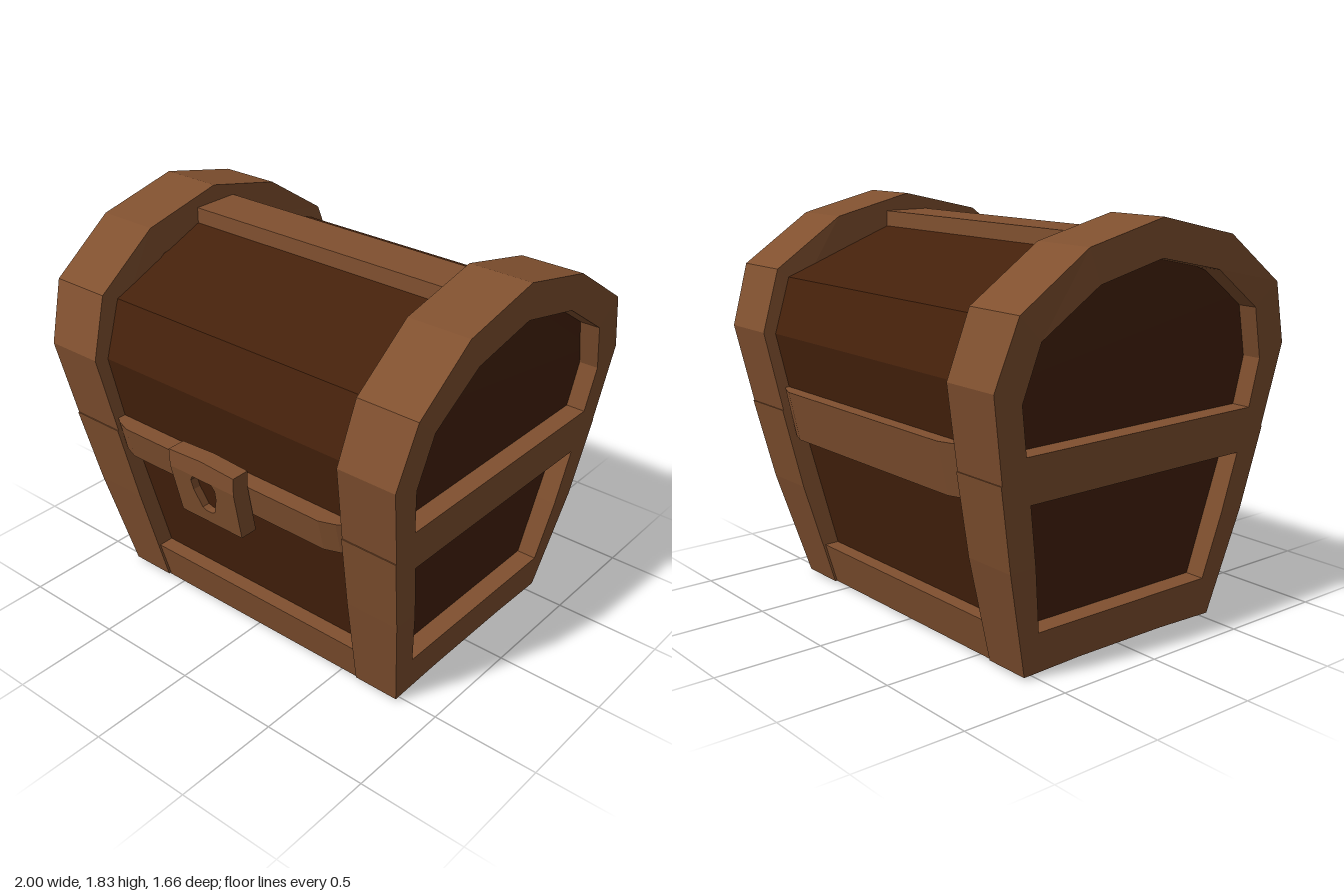
import * as THREE from 'three';

const wood = new THREE.MeshStandardMaterial({ color: 0x80502f });
wood.name = 'frame wood';
const dark = new THREE.MeshStandardMaterial({ color: 0x45210b });
dark.name = 'dark panel wood';

// piecewise linear lookup through [y, value] pairs
const ramp = (pts) => (y) => {
  if (y <= pts[0][0]) return pts[0][1];
  for (let i = 1; i < pts.length; i++) {
    const [y0, v0] = pts[i - 1], [y1, v1] = pts[i];
    if (y <= y1) return v0 + (v1 - v0) * (y - y0) / (y1 - y0);
  }
  return pts[pts.length - 1][1];
};

// outer and inner side of the end frames: they lean outwards with height
const outer = ramp([[0, 0.81], [0.5, 0.887], [0.87, 0.928], [1.24, 0.965], [1.52, 0.996], [1.83, 1]]);
const inner = ramp([[0, 0.59], [0.93, 0.66], [1.24, 0.685], [1.48, 0.705]]);

const toShape = (pts, holes = []) => {
  const s = new THREE.Shape(pts.map(p => new THREE.Vector2(...p)));
  s.holes = holes.map(h => new THREE.Path(h.map(p => new THREE.Vector2(...p))));
  return s;
};

// extrude a shape by one unit, then place every vertex by a rule
function solid(name, mat, shape, rule) {
  const g = new THREE.ExtrudeGeometry(shape, { depth: 1, bevelEnabled: false });
  const p = g.attributes.position;
  for (let i = 0; i < p.count; i++) p.setXYZ(i, ...rule(p.getX(i), p.getY(i), p.getZ(i)));
  g.computeVertexNormals();
  const m = new THREE.Mesh(g, mat);
  m.name = name;
  return m;
}

// (z, y) outline running along x between -half(y) and half(y)
const spanX = (name, mat, pts, half) =>
  solid(name, mat, toShape(pts), (a, b, d) => [d < 0.5 ? half(b) : -half(b), b, a]);

// closed frame of quads between an outline and a matching opening, both (z, y)
function ringFrame(name, outline, opening, hi, lo) {
  const pos = [];
  const at = ([z, y], side) => [side(y), y, z];
  const quad = (a, b, c, d) => pos.push(...a, ...b, ...c, ...a, ...c, ...d);
  outline.forEach((A, i) => {
    const j = (i + 1) % outline.length;
    const B = outline[j], C = opening[j], D = opening[i];
    quad(at(A, lo), at(B, lo), at(C, lo), at(D, lo));
    quad(at(D, hi), at(C, hi), at(B, hi), at(A, hi));
    quad(at(A, hi), at(B, hi), at(B, lo), at(A, lo));
    quad(at(D, hi), at(D, lo), at(C, lo), at(C, hi));
  });
  const g = new THREE.BufferGeometry();
  g.setAttribute('position', new THREE.Float32BufferAttribute(pos, 3));
  g.computeVertexNormals();
  const m = new THREE.Mesh(g, wood);
  m.name = name;
  return m;
}

// rail with tapered ends, following the slanted wall; dir is 1 in front, -1 behind
function rail(name, dir, top, bottom, reach, slant) {
  const plan = [[-0.67, 0.5], [0.67, 0.5], [0.67, reach - 0.05], [0.63, reach - 0.025], [0.56, reach],
    [-0.56, reach], [-0.63, reach - 0.025], [-0.67, reach - 0.05]].map(([x, z]) => [x, z * dir]);
  return solid(name, wood, toShape(plan), (x, z, d) =>
    d < 0.5 ? [x, top, z] : [x, bottom, z - dir * slant]);
}

export function createModel() {
  const chest = new THREE.Group();
  chest.name = 'chest';

  // dark box and lid core
  const panel = y => outer(y) - 0.09;
  chest.add(
    spanX('boxPanels', dark, [[0.45, 0.03], [0.64, 0.88], [-0.68, 0.88], [-0.48, 0.03]], panel),
    spanX('lidPanels', dark, [
      [0.65, 0.87], [0.71, 1.23], [0.61, 1.48], [0.10, 1.68], [-0.13, 1.68],
      [-0.68, 1.48], [-0.77, 1.23], [-0.70, 0.87],
    ], panel),
  );

  // end frames with open panels
  const boxFrame = [[0.53, 0.01], [0.64, 0.5], [0.715, 0.875], [-0.765, 0.875],
    [-0.685, 0.5], [-0.55, 0.01], [-0.25, 0.02], [0.23, 0.02]];
  const boxHole = [[0.46, 0.20], [0.517, 0.5], [0.57, 0.775], [-0.61, 0.77],
    [-0.557, 0.5], [-0.50, 0.20], [-0.25, 0.20], [0.23, 0.20]];
  const lidFrame = [
    [0.71, 0.875], [0.78, 1.245], [0.69, 1.52], [0.39, 1.74], [-0.01, 1.83],
    [-0.40, 1.74], [-0.735, 1.52], [-0.83, 1.24], [-0.76, 0.875],
  ];
  const lidHole = [
    [0.61, 0.975], [0.64, 1.19], [0.57, 1.42], [0.32, 1.60], [-0.01, 1.67],
    [-0.34, 1.595], [-0.62, 1.41], [-0.69, 1.18], [-0.65, 0.97],
  ];
  for (const side of [1, -1]) {
    const hi = side > 0 ? outer : y => -inner(y);
    const lo = side > 0 ? inner : y => -outer(y);
    const label = side > 0 ? 'left' : 'right';
    chest.add(
      ringFrame(label + 'BoxFrame', boxFrame, boxHole, hi, lo),
      ringFrame(label + 'LidFrame', lidFrame, lidHole, hi, lo),
    );
  }

  // beams between the frames
  const full = y => inner(y) + 0.01;
  chest.add(
    spanX('topBeam', wood, [[0.10, 1.60], [0.10, 1.752], [-0.13, 1.752], [-0.13, 1.60]], full),
    spanX('frontBottomBeam', wood, [[0.515, 0], [0.56, 0.19], [0.40, 0.19], [0.40, 0.004]], full),
    spanX('backBottomBeam', wood, [[-0.40, 0.01], [-0.40, 0.20], [-0.59, 0.20], [-0.54, 0.01]], full),
    spanX('bottomBoard', wood, [[0.45, 0.003], [0.45, 0.04], [-0.50, 0.04], [-0.50, 0.009]], () => 0.6),
    rail('frontRail', 1, 0.935, 0.78, 0.745, 0.035),
    rail('backRail', -1, 0.98, 0.75, 0.785, 0.05),
  );

  // latch with a recessed keyhole
  const face = ramp([[0.70, 0.785], [0.94, 0.835]]);
  const alongZ = (name, mat, shape, back, front) =>
    solid(name, mat, shape, (x, y, d) => [x, y, face(y) - (d < 0.5 ? back : front)]);
  const keyhole = [[-0.055, 0.935], [-0.07, 0.91], [-0.065, 0.86], [-0.035, 0.775], [-0.015, 0.765],
    [0.015, 0.765], [0.035, 0.775], [0.065, 0.86], [0.07, 0.91], [0.055, 0.935]];
  const latch = new THREE.Group();
  latch.name = 'latch';
  latch.add(
    alongZ('latchPlate', wood, toShape([[-0.175, 0.70], [0.175, 0.70], [0.185, 0.94], [-0.185, 0.94]], [keyhole]), 0.085, 0),
    alongZ('latchCap', wood, toShape([[-0.185, 0.94], [0.185, 0.94], [0.187, 1.02], [0, 1.03], [-0.187, 1.02]]), 0.085, 0),
    alongZ('keyhole', dark, toShape([[-0.09, 0.75], [0.09, 0.75], [0.09, 0.938], [-0.09, 0.938]]), 0.045, 0.037),
  );
  chest.add(latch);
  return chest;
}
